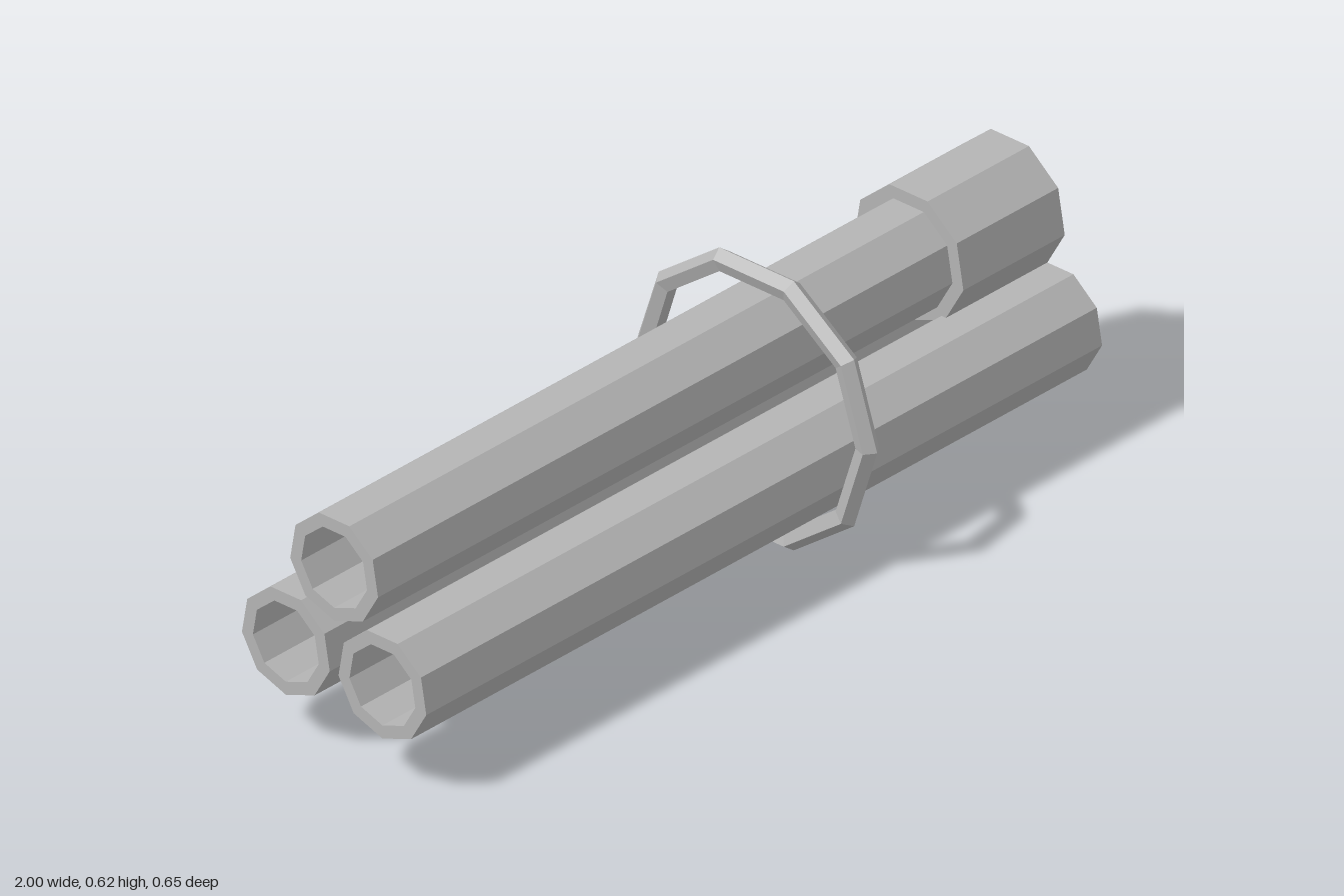
import * as THREE from 'three';

const steel = new THREE.MeshStandardMaterial({ color: 0xb4b4b4 });
steel.name = 'pipe grey';
steel.flatShading = true;
steel.side = THREE.DoubleSide;

const SIDES = 9;

// Nine-sided outline with one corner pointing straight down
function outline(radius, Kind = THREE.Shape) {
  const points = [];
  for (let i = 0; i < SIDES; i++) {
    const a = -Math.PI / 2 + (i / SIDES) * Math.PI * 2;
    points.push(new THREE.Vector2(radius * Math.cos(a), radius * Math.sin(a)));
  }
  return new Kind(points);
}

// Hollow tube running along x from x0 to x1
function pipe(name, outer, inner, x0, x1, y, z) {
  const shape = outline(outer);
  shape.holes.push(outline(inner, THREE.Path));
  const geometry = new THREE.ExtrudeGeometry(shape, { depth: x1 - x0, bevelEnabled: false });
  geometry.rotateY(Math.PI / 2);
  const mesh = new THREE.Mesh(geometry, steel);
  mesh.name = name;
  mesh.position.set(x0, y, z);
  return mesh;
}

// Ten-sided band, split at one corner with its ends cut square to the sides
function strap() {
  const R = 0.3, sections = 5, steps = 10;
  const geometry = new THREE.TorusGeometry(R, 0.025, sections, steps);
  const pos = geometry.attributes.position;
  const tilt = Math.PI / steps;
  for (let j = 0; j <= sections; j++) {
    for (const [column, sign] of [[0, 1], [steps, -1]]) {
      const k = j * (steps + 1) + column;
      const offset = pos.getX(k) - R;
      pos.setX(k, R + offset * Math.cos(tilt));
      pos.setY(k, sign * offset * Math.sin(tilt));
    }
  }
  geometry.rotateY(Math.PI / 2);
  geometry.computeVertexNormals();
  const mesh = new THREE.Mesh(geometry, steel);
  mesh.name = 'strap';
  mesh.position.set(0.25, 0.309, 0);
  return mesh;
}

export function createModel() {
  const group = new THREE.Group();
  group.name = 'pipeBundle';

  // Two lower pipes side by side
  group.add(pipe('lowerPipeFront', 0.12, 0.09, -1, 1, 0.23, 0.13));
  group.add(pipe('lowerPipeBack', 0.12, 0.09, -1, 1, 0.23, -0.13));

  // Upper pipe with a wider socket on its end
  group.add(pipe('upperPipe', 0.12, 0.09, -1, 0.98, 0.45, 0));
  group.add(pipe('socket', 0.15, 0.12, 0.7, 1, 0.45, 0));

  // Plug closing the bore at the base of the socket
  const plug = new THREE.Mesh(new THREE.ShapeGeometry(outline(0.09)).rotateY(Math.PI / 2), steel);
  plug.name = 'plug';
  plug.position.set(0.7, 0.45, 0);
  group.add(plug);

  group.add(strap());
  return group;
}
